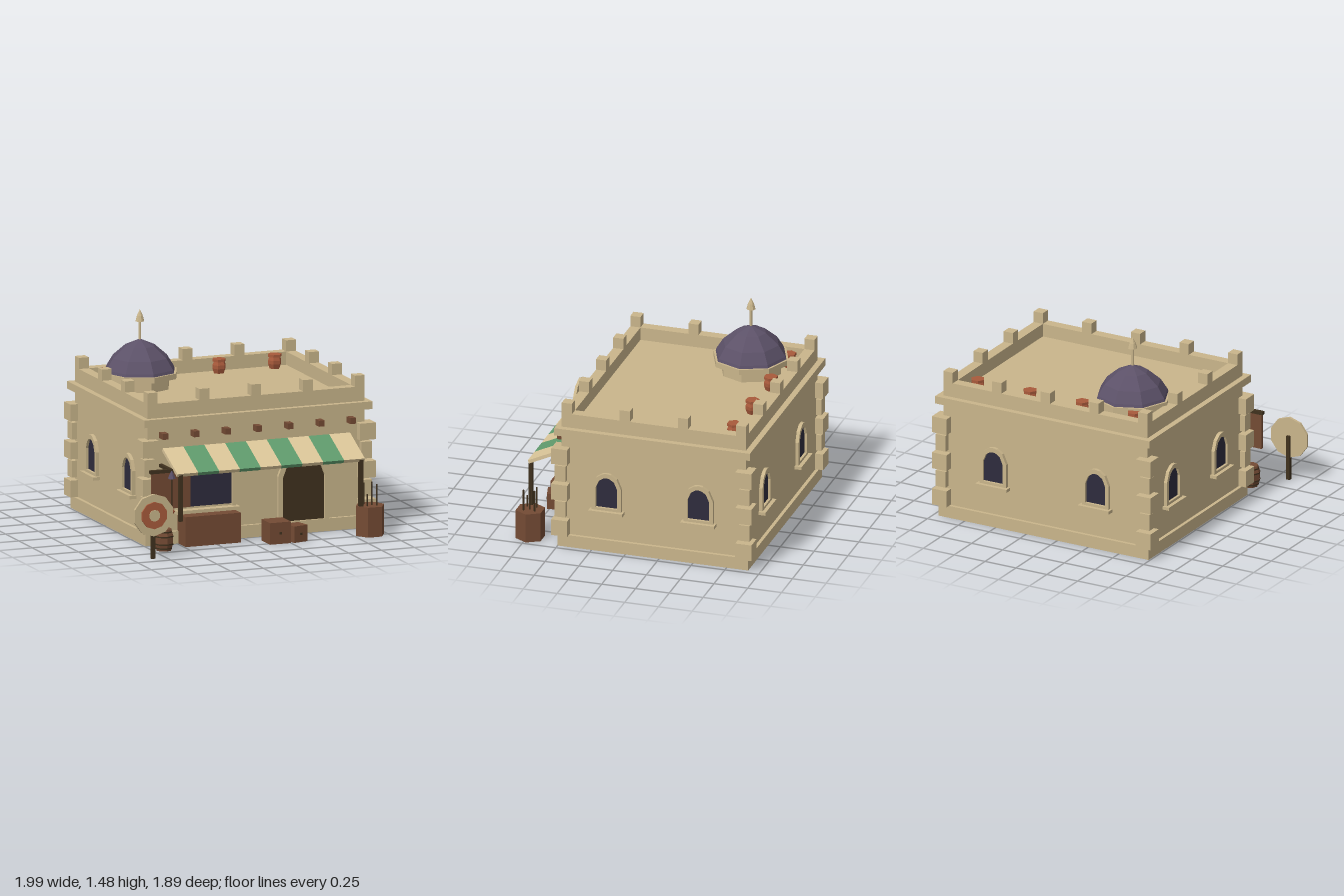
import * as THREE from 'three';

const mat = (name, color) => {
  const m = new THREE.MeshStandardMaterial({ color });
  m.name = name;
  return m;
};

export function createModel() {
  const sand = mat('sandstone', 0xc9b58b), cream = mat('cream cloth', 0xdac598);
  const green = mat('green cloth', 0x5f9a6c), brown = mat('brown wood', 0x744b34);
  const dark = mat('dark wood', 0x3f311e), navy = mat('dark glass', 0x2e2c3d);
  const purple = mat('purple tile', 0x5c5168), red = mat('terracotta', 0xa85a3b);

  const root = new THREE.Group();
  root.name = 'marketHouse';

  // Helpers
  const add = (name, geo, m, x = 0, y = 0, z = 0, parent = root) => {
    const mesh = new THREE.Mesh(geo, m);
    mesh.name = name;
    mesh.position.set(x, y, z);
    parent.add(mesh);
    return mesh;
  };
  const group = (name, x = 0, y = 0, z = 0) => {
    const g = new THREE.Group();
    g.name = name;
    g.position.set(x, y, z);
    root.add(g);
    return g;
  };
  // Box given by its extents
  const block = (name, m, x0, x1, y0, y1, z0, z1, parent = root) =>
    add(name, new THREE.BoxGeometry(x1 - x0, y1 - y0, z1 - z0), m,
      (x0 + x1) / 2, (y0 + y1) / 2, (z0 + z1) / 2, parent);
  const flat = (geo) => {
    const g = geo.index ? geo.toNonIndexed() : geo;
    g.computeVertexNormals();
    return g;
  };
  const prism = (r0, r1, h, n, turn = 0) => flat(new THREE.CylinderGeometry(r1, r0, h, n).rotateY(turn));
  const lathe = (pts, n, turn = 0) =>
    flat(new THREE.LatheGeometry(pts.map(p => new THREE.Vector2(...p)), n).rotateY(turn));

  // Walls, plinth and cornice
  const X0 = -0.715, X1 = 0.935, Z0 = -0.885, Z1 = 0.478, cx = 0.11, cz = -0.2035;
  block('walls', sand, X0, X1, 0, 0.92, Z0, Z1);
  block('plinth', sand, X0 - 0.025, X1 + 0.025, 0, 0.09, Z0 - 0.025, Z1 + 0.025);
  block('cornice', sand, X0 - 0.043, X1 + 0.043, 0.855, 0.91, Z0 - 0.043, Z1 + 0.043);

  // Parapet
  const t = 0.075, top = 1.015;
  for (const z of [Z0, Z1 - t]) block('parapet', sand, X0, X1, 0.9, top, z, z + t);
  for (const x of [X0, X1 - t]) block('parapet', sand, x, x + t, 0.9, top, Z0 + t, Z1 - t);

  // Merlons round the edge
  for (let i = 0; i < 5; i++) for (let j = 0; j < 4; j++) {
    if (i % 4 && j % 3) continue;
    const x = X0 + t / 2 + i * (X1 - X0 - t) / 4, z = Z0 + t / 2 + j * (Z1 - Z0 - t) / 3;
    add('merlon', new THREE.BoxGeometry(t, 0.08, t), sand, x, top + 0.04, z);
  }

  // Corner stones, alternately large and small
  for (const x of [X0, X1]) for (const z of [Z0, Z1]) for (let i = 0; i < 5; i++) {
    const s = i % 2 ? 0.08 : 0.12;
    add('cornerStone', new THREE.BoxGeometry(s, 0.12, s), sand, x, 0.152 + i * 0.137, z);
  }

  // Beam ends above the awning
  for (let i = 0; i < 7; i++) block('beamEnd', brown, -0.627 + i * 0.2375, -0.584 + i * 0.2375, 0.765, 0.808, 0.46, 0.545);

  // Arched outline: half-width w, base y0, spring height y1, apex y2
  const arch = (C, w, y0, y1, y2) => {
    const h = y2 - y1;
    return new C([[-w, y0], [w, y0], [w, y1], [w * 0.7, y1 + h * 0.68], [w * 0.28, y1 + h * 0.95], [0, y2],
      [-w * 0.28, y1 + h * 0.95], [-w * 0.7, y1 + h * 0.68], [-w, y1]].map(p => new THREE.Vector2(...p)));
  };
  const archFrame = (outer, inner, d) => {
    outer.holes.push(inner);
    return new THREE.ExtrudeGeometry(outer, { depth: d, bevelEnabled: false });
  };

  // Side and back windows
  const windowAt = (x, z, turn) => {
    const g = group('window', x, 0, z);
    g.rotation.y = turn;
    add('frame', archFrame(arch(THREE.Shape, 0.108, 0.315, 0.49, 0.6), arch(THREE.Path, 0.08, 0.335, 0.485, 0.567), 0.025), sand, 0, 0, 0, g);
    add('glass', new THREE.ShapeGeometry(arch(THREE.Shape, 0.082, 0.333, 0.485, 0.569)), navy, 0, 0, 0.006, g);
    block('sill', sand, -0.126, 0.126, 0.293, 0.316, -0.01, 0.053, g);
  };
  for (const z of [-0.54, 0.14]) {
    windowAt(X1, z, Math.PI / 2);
    windowAt(X0, z, -Math.PI / 2);
  }
  for (const x of [-0.307, 0.522]) windowAt(x, Z0, Math.PI);

  // Doorway
  const door = group('doorway', 0.463, 0, Z1);
  add('frame', archFrame(arch(THREE.Shape, 0.195, 0.005, 0.42, 0.64), arch(THREE.Path, 0.158, 0.09, 0.41, 0.595), 0.025), sand, 0, 0, 0, door);
  add('door', new THREE.ShapeGeometry(arch(THREE.Shape, 0.16, 0.088, 0.41, 0.597)), dark, 0, 0, 0.008, door);

  // Shop window and counter
  block('shopWindowPane', navy, -0.475, -0.08, 0.255, 0.6, 0.476, 0.485);
  for (const x of [-0.5, -0.08]) block('shopWindowFrame', sand, x, x + 0.025, 0.24, 0.625, 0.47, 0.503);
  block('shopWindowFrame', sand, -0.475, -0.08, 0.6, 0.625, 0.47, 0.503);
  block('shopWindowSill', sand, -0.515, -0.035, 0.216, 0.24, 0.47, 0.54);
  block('counter', brown, -0.49, -0.07, 0, 0.215, 0.48, 0.635);

  // Striped awning and its posts
  const awning = group('awning', 0.107, 0.615, 0.622);
  awning.rotation.x = 0.44;
  for (let i = 0; i < 9; i++)
    add('awningStripe', new THREE.BoxGeometry(0.1583, 0.025, 0.31), i % 2 ? green : cream, (i - 4) * 0.1583, 0, 0, awning);
  for (const x of [-0.575, 0.795]) block('awningPost', dark, x - 0.014, x + 0.014, 0.215, 0.55, 0.735, 0.763);

  // Dome with rim, drum and finial
  const dome = group('dome', -0.378, 0, -0.5);
  add('drum', prism(0.22, 0.22, 0.1, 8), sand, 0, 0.96, 0, dome);
  add('rim', prism(0.278, 0.278, 0.04, 8), sand, 0, 1.02, 0, dome);
  add('domeRoof', lathe([[0.264, 1.035], [0.255, 1.06], [0.205, 1.14], [0.11, 1.222], [0, 1.27]], 8), purple, 0, 0, 0, dome);
  add('finialRod', prism(0.01, 0.01, 0.16, 8), sand, 0, 1.33, 0, dome);
  add('finialTip', lathe([[0, 1.4], [0.033, 1.395], [0.022, 1.435], [0, 1.482]], 8), sand, 0, 0, 0, dome);

  // Jars on the roof
  for (let i = 0; i < 4; i++) {
    const jar = group('roofJar', -0.525 + i * 0.422, 0.92, -0.735);
    add('jarBody', lathe([[0, 0], [0.038, 0], [0.05, 0.035], [0.05, 0.06], [0.04, 0.085]], 6, Math.PI / 6), red, 0, 0, 0, jar);
    add('jarLid', prism(0.051, 0.051, 0.018, 6, Math.PI / 6), red, 0, 0.094, 0, jar);
  }

  // Barrel with dark hoops
  const barrel = group('barrel', -0.67, 0, 0.67);
  add('barrelBody', lathe([[0, 0], [0.055, 0], [0.07, 0.05], [0.07, 0.105], [0.055, 0.155], [0, 0.155]], 8), brown, 0, 0, 0, barrel);
  for (const [y, r] of [[0.02, 0.064], [0.05, 0.073], [0.105, 0.073], [0.137, 0.064]])
    add('hoop', new THREE.CylinderGeometry(r, r, 0.01, 8, 1, true), dark, 0, y, 0, barrel);

  // Hanging board on its bracket, with an emblem
  block('bracketArm', dark, -0.628, -0.604, 0.558, 0.58, 0.47, 0.665);
  block('bracketBar', dark, -0.775, -0.46, 0.556, 0.58, 0.655, 0.683);
  block('hangingBoard', brown, -0.765, -0.47, 0.297, 0.558, 0.66, 0.678);
  add('emblemCap', prism(0.028, 0.004, 0.055, 6), purple, -0.622, 0.545, 0.7);
  add('emblemRod', prism(0.006, 0.006, 0.23, 6), dark, -0.622, 0.42, 0.7);
  add('emblemDrop', new THREE.OctahedronGeometry(0.03).scale(0.9, 1.15, 0.5), red, -0.622, 0.278, 0.695);

  // Round target on a post
  const target = group('roundTarget', -0.848, 0.315, 0.91);
  const disc = (name, r, d, m, z) =>
    add(name, flat(new THREE.CylinderGeometry(r, r, d, 10).rotateX(Math.PI / 2)), m, 0, 0, z, target);
  disc('board', 0.152, 0.02, sand, 0.005);
  disc('ring', 0.098, 0.014, red, 0.02);
  disc('centre', 0.042, 0.012, sand, 0.027);
  block('targetPost', dark, -0.862, -0.834, 0, 0.33, 0.89, 0.915);

  // Crates with knobs
  for (const [x, z, s, h, turn] of [[0.17, 0.705, 0.158, 0.155, 0], [0.315, 0.723, 0.115, 0.118, 0.25]]) {
    const crate = group('crate', x, 0, z);
    crate.rotation.y = turn;
    add('crateBox', new THREE.BoxGeometry(s, h, s), brown, 0, h / 2, 0, crate);
    add('knob', new THREE.BoxGeometry(0.016, 0.016, 0.012), dark, 0, h / 2, s / 2, crate);
  }

  // Six-sided bin of poles
  const bin = group('poleBin', 0.873, 0, 0.73);
  add('bin', prism(0.107, 0.107, 0.215, 6, Math.PI / 6), brown, 0, 0.1075, 0, bin);
  for (const [x, z, h] of [[-0.035, -0.035, 0.37], [0.03, -0.04, 0.37], [0.012, 0.002, 0.37], [-0.035, 0.035, 0.3], [0.035, 0.04, 0.37]])
    add('pole', prism(0.006, 0.006, h - 0.1, 6), dark, x, (h + 0.1) / 2, z, bin);

  return root;
}
